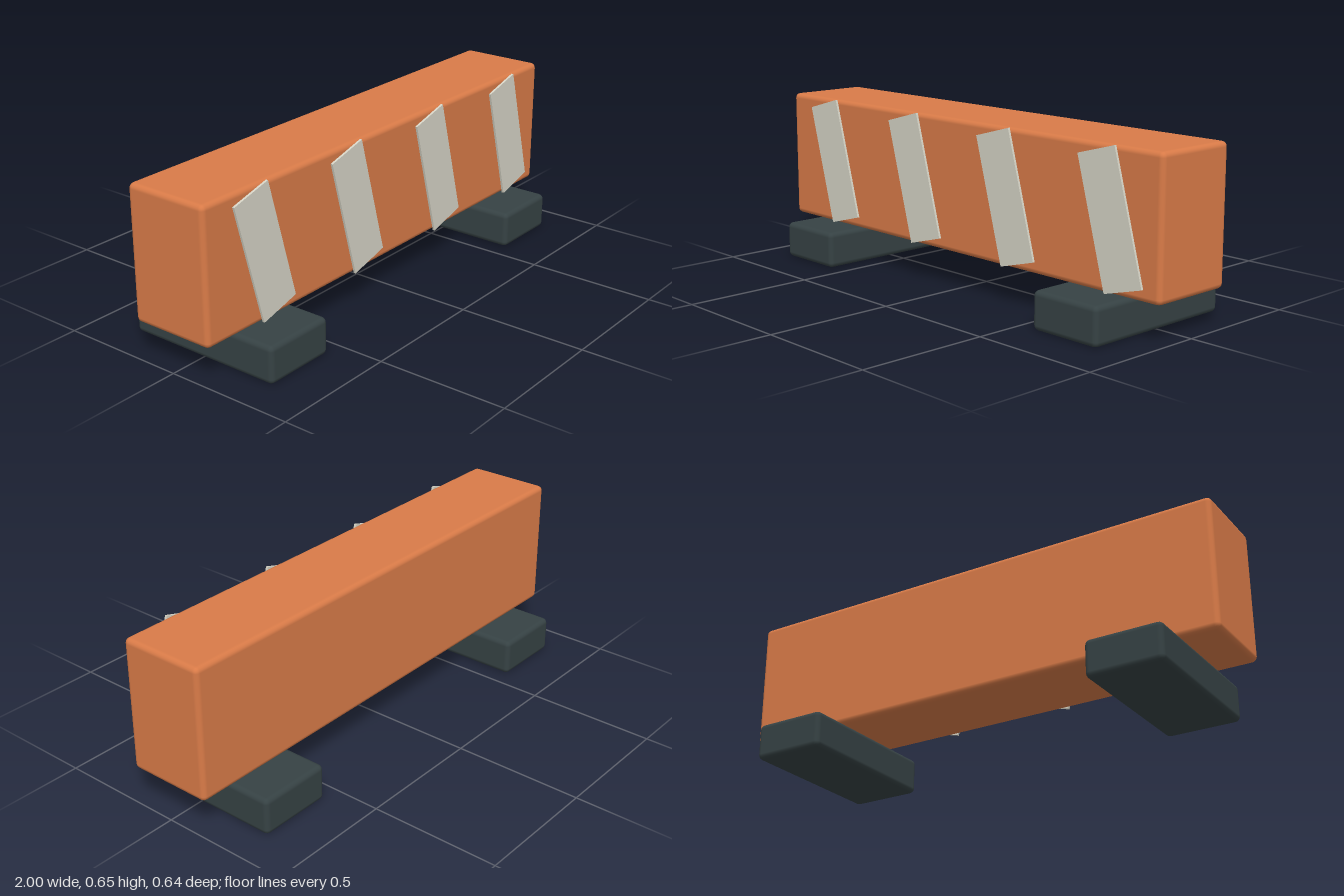
import * as THREE from 'three';
import { RoundedBoxGeometry } from 'three/addons/geometries/RoundedBoxGeometry.js';

const paint = (color) => new THREE.MeshStandardMaterial({ color });

export function createModel() {
  const model = new THREE.Group();
  model.name = 'roadBarrier';
  const orange = paint(0xd97b48);
  const rubber = paint(0x364244);
  const reflective = paint(0xd6d4c6);

  const add = (name, geometry, material, x, y, z) => {
    const mesh = new THREE.Mesh(geometry, material);
    mesh.name = name;
    mesh.position.set(x, y, z);
    model.add(mesh);
    return mesh;
  };

  // Long board with softened edges
  add('barrierBody', new RoundedBoxGeometry(2, 0.51, 0.34, 2, 0.02), orange, 0, 0.397, 0);

  // Two feet running front to back
  const footGeometry = new RoundedBoxGeometry(0.294, 0.143, 0.643, 2, 0.02);
  for (const side of [-1, 1]) {
    add(side > 0 ? 'leftFoot' : 'rightFoot', footGeometry, rubber, side * 0.714, 0.0715, 0);
  }

  // Slanted stripes on the front face only
  const stripeGeometry = new THREE.BoxGeometry(0.171, 0.483, 0.009);
  for (let i = 0; i < 4; i++) {
    const stripe = add(`stripe${i + 1}`, stripeGeometry, reflective, -0.717 + i * 0.5, 0.397, 0.1755);
    stripe.rotation.z = 0.27;
  }

  return model;
}
